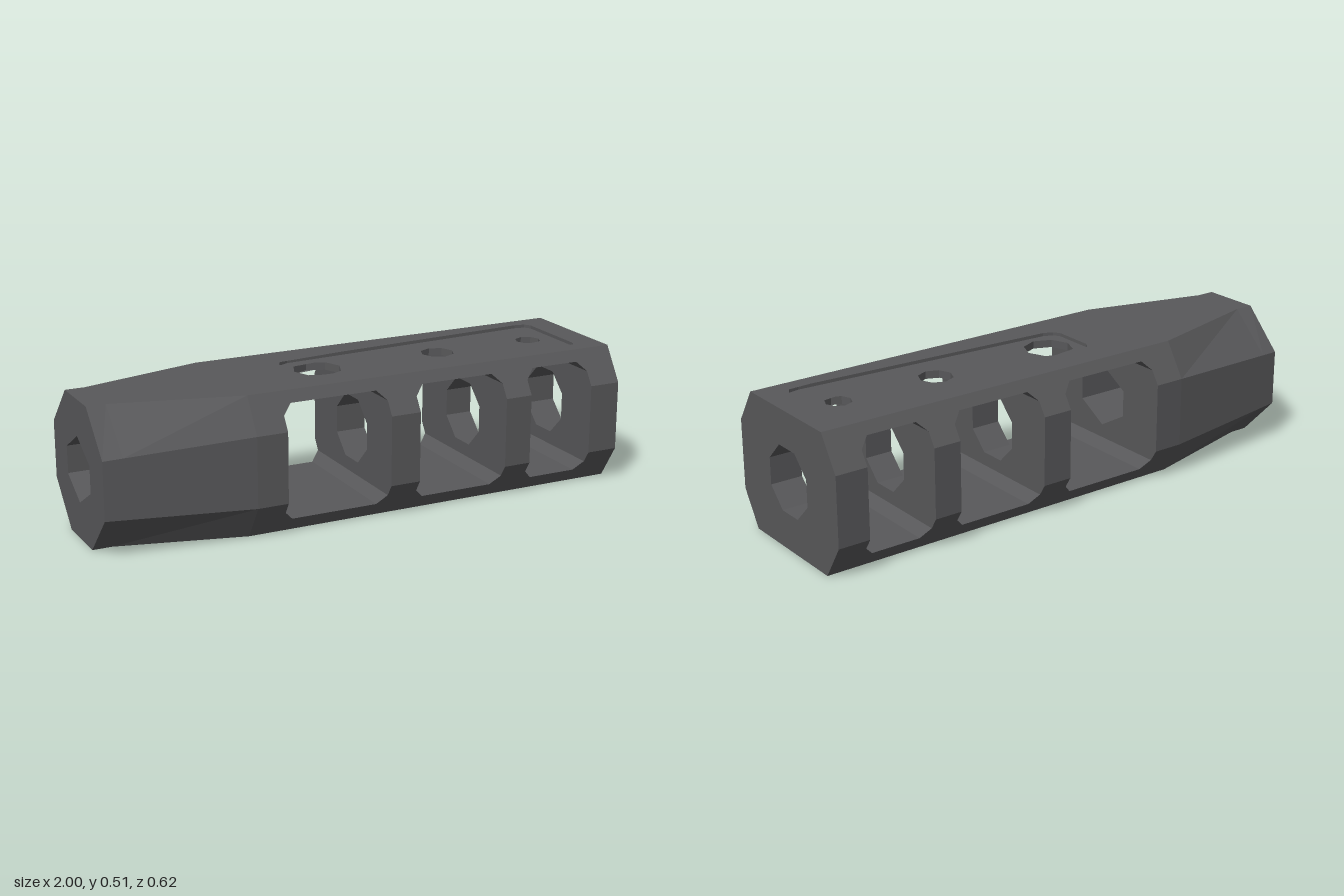
import * as THREE from 'three';

const H = 0.51, FLOOR = 0.05, ROOF = 0.47, AXIS = 0.256, POCKET = 0.498;
const CHAMFER = 0.035;
const windows = [[-0.355, 0.045], [0.16, 0.515], [0.62, 0.88]];

const gunmetal = new THREE.MeshStandardMaterial({ color: 0x58585a });
gunmetal.name = 'gunmetal';

const V = (x, y) => new THREE.Vector2(x, y);

// half width of the eight-sided body at height y
function halfWidth(y) {
  if (y < 0.127) return 0.23 + 0.08 * y / 0.127;
  if (y > 0.385) return 0.31 - 0.08 * (y - 0.385) / (H - 0.385);
  return 0.31;
}

// body section between two heights
function section(y0, y1) {
  const ys = [y0, 0.127, 0.385, y1];
  return new THREE.Shape([
    ...ys.map(y => V(halfWidth(y), y)),
    ...ys.slice().reverse().map(y => V(-halfWidth(y), y)),
  ]);
}

const octagonBore = [[0.12, -0.05], [0.12, 0.05], [0.05, 0.12], [-0.05, 0.12],
  [-0.12, 0.05], [-0.12, -0.05], [-0.05, -0.12], [0.05, -0.12]];
const hexagonBore = [[0.12, -0.05], [0.12, 0.05], [0, 0.12],
  [-0.12, 0.05], [-0.12, -0.05], [0, -0.12]];
const bore = pts => new THREE.Path(pts.map(([x, y]) => V(x, y + AXIS)));

const extrude = (shape, depth, steps = 1) =>
  new THREE.ExtrudeGeometry(shape, { depth, steps, bevelEnabled: false });

// change every vertex by a rule
function reshape(geo, rule) {
  const p = geo.attributes.position, v = new THREE.Vector3();
  for (let i = 0; i < p.count; i++) {
    rule(v.fromBufferAttribute(p, i));
    p.setXYZ(i, v.x, v.y, v.z);
  }
  return geo;
}

const fitToBody = v => { v.z = Math.sign(v.z) * halfWidth(v.y); };

export function createModel() {
  const group = new THREE.Group();
  group.name = 'muzzleBrake';
  const add = (name, geo) => {
    const flat = geo.index ? geo.toNonIndexed() : geo;
    flat.computeVertexNormals();
    const mesh = new THREE.Mesh(flat, gunmetal);
    mesh.name = name;
    group.add(mesh);
  };

  // tapered nose with hexagonal bore
  const stations = [-1, -0.93, -0.47, windows[0][0]];
  const noseShape = section(0, H);
  noseShape.holes.push(bore(hexagonBore));
  const nose = extrude(noseShape, 3, 3).rotateY(Math.PI / 2);
  reshape(nose, v => {
    v.x = stations[Math.round(v.x)];
    if (Math.abs(v.z) < 0.2) return;
    const t = Math.max(0, (-0.47 - v.x) / 0.53);
    const s = Math.sign(v.z);
    if (v.y < 0.01 || v.y > 0.5) {
      v.z = s * (0.23 - 0.12 * Math.min(1, t * 0.53 / 0.46));
    } else {
      v.z = s * (0.31 - 0.055 * t);
      v.y += (v.y < AXIS ? 1 : -1) * 0.024 * t;
    }
  });
  add('nose', nose);

  // baffle walls with octagonal bore
  windows.forEach(([, x0], i) => {
    const x1 = i < 2 ? windows[i + 1][0] : 1;
    const shape = section(FLOOR, ROOF);
    shape.holes.push(bore(octagonBore));
    add('baffle' + (i + 1), extrude(shape, x1 - x0).rotateY(Math.PI / 2).translate(x0, 0, 0));
  });

  // sloped corners of the side ports
  windows.forEach(([x0, x1], i) => {
    for (const [x, dx] of [[x0, CHAMFER], [x1, -CHAMFER]]) {
      for (const [y, dy] of [[FLOOR, CHAMFER], [ROOF, -CHAMFER]]) {
        const tri = new THREE.Shape([V(x, y), V(x + dx, y), V(x, y + dy)]);
        add('portCorner' + (i + 1), reshape(extrude(tri, 1).translate(0, 0, -0.5), fitToBody));
      }
    }
  });

  // floor
  const start = windows[0][0], length = 1 - start, mid = (1 + start) / 2;
  add('floor', reshape(new THREE.BoxGeometry(length, FLOOR, 1).translate(mid, FLOOR / 2, 0), fitToBody));

  // roof in two layers: gas holes below, shallow pocket above
  const slab = (name, y0, y1, holes) => {
    const shape = new THREE.Shape([V(start, -1), V(1, -1), V(1, 1), V(start, 1)]);
    shape.holes.push(...holes);
    const geo = extrude(shape, y1 - y0).rotateX(-Math.PI / 2).translate(0, y0, 0);
    add(name, reshape(geo, v => { if (Math.abs(v.z) > 0.9) fitToBody(v); }));
  };
  const gasHoles = [[-0.095, 0.09], [0.4, 0.063], [0.795, 0.048]].map(([x, r]) =>
    new THREE.Path(Array.from({ length: 8 }, (_, k) =>
      V(x + r * Math.cos(k * Math.PI / 4), r * Math.sin(k * Math.PI / 4)))));
  slab('roof', ROOF, POCKET, gasHoles);

  const half = [[-0.21, 0.075], [-0.195, 0.1], [-0.16, 0.115], [0.845, 0.175], [0.885, 0.168], [0.9, 0.145]];
  const pocket = new THREE.Path([
    ...half.map(([x, z]) => V(x, z)),
    ...half.slice().reverse().map(([x, z]) => V(x, -z)),
  ]);
  slab('pocketRim', POCKET, H, [pocket]);

  return group;
}
